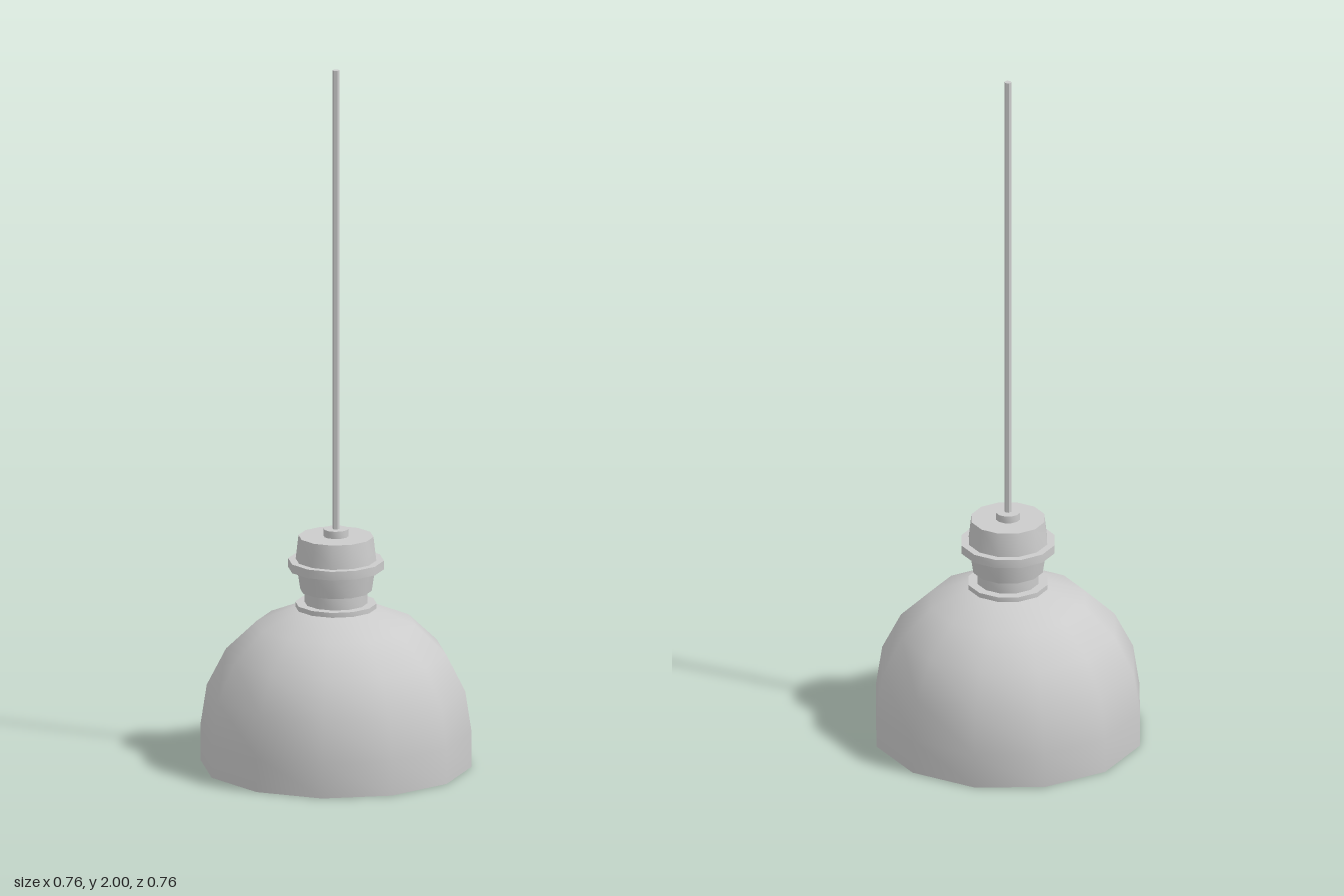
import * as THREE from 'three';
import { toCreasedNormals } from 'three/addons/utils/BufferGeometryUtils.js';

const SIDES = 12;
const material = new THREE.MeshStandardMaterial({ color: 0xcccccc });

// Revolve a [radius, height] profile, listed from the bottom up
function turned(name, profile, sides = SIDES) {
  const points = profile.map(([r, y]) => new THREE.Vector2(r, y));
  const geometry = toCreasedNormals(new THREE.LatheGeometry(points, sides), 0.65);
  const mesh = new THREE.Mesh(geometry, material);
  mesh.name = name;
  return mesh;
}

// Closed disc or tapered drum
function drum(name, y0, y1, r0, r1 = r0, sides = SIDES) {
  return turned(name, [[0, y0], [r0, y0], [r1, y1], [0, y1]], sides);
}

export function createModel() {
  const lamp = new THREE.Group();
  lamp.name = 'pendantLamp';

  // Dome shade with a thick rim and a recessed diffuser underneath
  lamp.add(turned('shade', [
    [0, 0.05], [0.345, 0.05], [0.345, 0], [0.38, 0],
    [0.38, 0.1], [0.362, 0.217], [0.308, 0.323], [0.222, 0.405], [0.115, 0.45], [0, 0.455],
  ]));

  // Stacked socket on top of the shade
  lamp.add(drum('shadeFlange', 0.448, 0.464, 0.114));
  lamp.add(drum('neck', 0.464, 0.5, 0.088));
  lamp.add(drum('lowerSocket', 0.5, 0.565, 0.1, 0.11));
  lamp.add(drum('socketRing', 0.563, 0.588, 0.134));
  lamp.add(drum('upperSocket', 0.588, 0.656, 0.113, 0.105));

  // Cord grip and hanging cord
  lamp.add(drum('cordGrip', 0.656, 0.677, 0.035));
  lamp.add(drum('cord', 0.677, 2, 0.01, 0.01, 6));

  return lamp;
}
